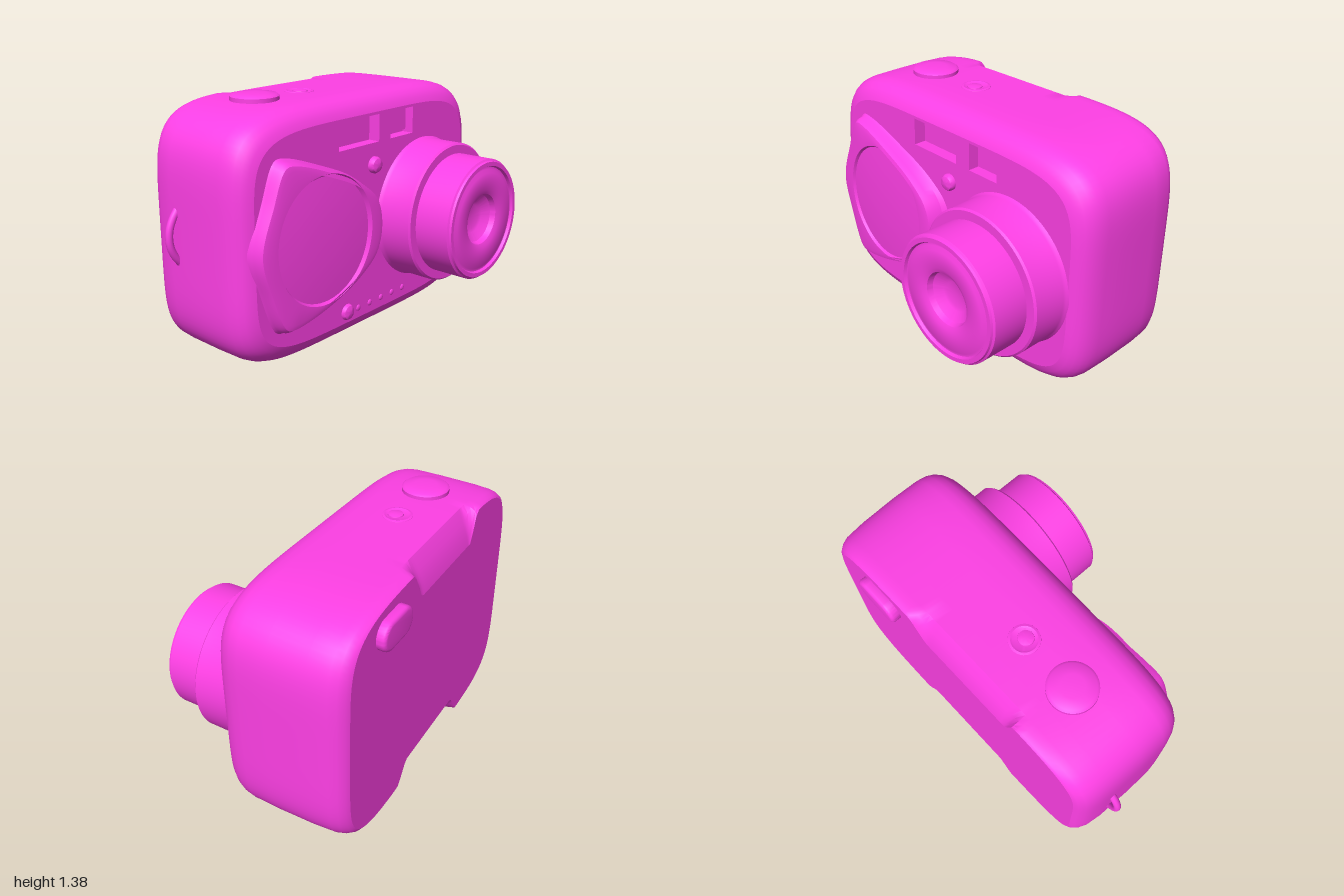
import * as THREE from 'three';
import { toCreasedNormals } from 'three/addons/utils/BufferGeometryUtils.js';

const material = new THREE.MeshStandardMaterial({ color: 0xff40e6 });
const inside = new THREE.MeshStandardMaterial({ color: 0xff40e6, side: THREE.BackSide });
const V = (x, y, z) => new THREE.Vector3(x, y, z);
const smooth = THREE.MathUtils.smoothstep;

// Skin over rings of points that run anticlockwise and advance along +z
function loft(rings, crease = 0.7) {
  const n = rings[0].length, index = [];
  for (let r = 0; r < rings.length - 1; r++) {
    for (let i = 0; i < n; i++) {
      const a = r * n + i, b = r * n + (i + 1) % n;
      index.push(a, b, b + n, a, b + n, a + n);
    }
  }
  const g = new THREE.BufferGeometry().setFromPoints(rings.flat());
  g.setIndex(index);
  return toCreasedNormals(g, crease);
}

// Softly squared outline of the body, with thumb notches cut in the rear edges
function bodyRing([z, insetX, insetY, topCut, bottomCut]) {
  const ring = [], count = 200, n = 5.5, a = 0.965 - insetX, b = 0.67 - insetY;
  for (let i = 0; i < count; i++) {
    const t = (i / count) * Math.PI * 2, c = Math.cos(t), s = Math.sin(t);
    const r = Math.pow(Math.abs(c / a) ** n + Math.abs(s / b) ** n, -1 / n);
    const x = 0.025 + r * c;
    let y = 0.672 + r * s;
    const top = smooth(x, -0.44, -0.36) * (1 - smooth(x, 0.2, 0.32));
    const bottom = smooth(x, -0.37, -0.27) * (1 - smooth(x, 0.28, 0.4));
    if (y > 1) y -= topCut * top;
    if (y < 0.3) y += bottomCut * bottom;
    ring.push(V(x, y, z < -0.4 ? z - 0.015 * x : z));
  }
  return ring;
}

// Closed rectangular path used for window openings
function rectPath(x, y, w, h) {
  return new THREE.Path([
    [x - w / 2, y - h / 2], [x - w / 2, y + h / 2], [x + w / 2, y + h / 2], [x + w / 2, y - h / 2],
  ].map(p => new THREE.Vector2(...p)));
}

// Pill-shaped solid with rounded edges, facing +z
function pill(w, h, depth, bevel) {
  const r = h / 2 - bevel, k = w / 2 - h / 2, s = new THREE.Shape();
  s.absarc(k, 0, r, -Math.PI / 2, Math.PI / 2);
  s.absarc(-k, 0, r, Math.PI / 2, Math.PI * 1.5);
  return toCreasedNormals(new THREE.ExtrudeGeometry(s, {
    depth: depth - bevel, bevelSize: bevel, bevelThickness: bevel, bevelSegments: 4, curveSegments: 16,
  }), 0.7);
}

const lathe = (points, segments = 64) => toCreasedNormals(
  new THREE.LatheGeometry(points.map(p => new THREE.Vector2(...p)), segments), 0.6);

export function createModel() {
  const model = new THREE.Group();
  const add = (name, geometry, x = 0, y = 0, z = 0, rx = 0, mat = material) => {
    const m = new THREE.Mesh(geometry, mat);
    m.name = name;
    m.position.set(x, y, z);
    m.rotation.x = rx;
    model.add(m);
    return m;
  };

  // Body shell: z, side inset, top and bottom inset, top notch, bottom notch
  const rings = [
    [-0.542, 0.085, 0.012, 0.17, 0.13],
    [-0.53, 0.06, 0.005, 0.13, 0.12],
    [-0.5, 0.035, 0, 0.06, 0.09],
    [-0.46, 0.018, 0, 0, 0.06],
    [-0.36, 0.006, 0, 0, 0],
    [-0.15, 0, 0, 0, 0],
    [0.0, 0.003, 0, 0, 0],
    [0.05, 0.01, 0.006, 0, 0],
    [0.09, 0.024, 0.02, 0, 0],
    [0.12, 0.043, 0.042, 0, 0],
    [0.142, 0.068, 0.07, 0, 0],
    [0.155, 0.098, 0.1, 0, 0],
  ].map(bodyRing);
  add('bodyShell', loft(rings, 0.9));

  // Rear panel
  const rear = new THREE.ShapeGeometry(new THREE.Shape(rings[0].map(p => new THREE.Vector2(-p.x, p.y))));
  rear.rotateY(Math.PI);
  const pos = rear.attributes.position;
  for (let i = 0; i < pos.count; i++) pos.setZ(i, -0.542 - 0.015 * pos.getX(i));
  rear.computeVertexNormals();
  add('rearPanel', rear);

  // Front panel with recessed windows
  const windows = [['viewfinder', -0.075, 0.33], ['sensorWindow', 0.29, 0.2]];
  const front = new THREE.Shape(rings[rings.length - 1].map(p => new THREE.Vector2(p.x, p.y)));
  for (const [name, x, w] of windows) {
    front.holes.push(rectPath(x, 1.152, w, 0.15));
    add(name + 'Recess', new THREE.BoxGeometry(w, 0.15, 0.07), x, 1.152, 0.12, 0, inside);
  }
  add('frontPanel', new THREE.ShapeGeometry(front), 0, 0, 0.155);
  const frame = new THREE.Shape(rectPath(0, 0, 0.16, 0.12).getPoints());
  frame.holes.push(rectPath(0, 0, 0.09, 0.08));
  add('sensorFrame', new THREE.ExtrudeGeometry(frame, { depth: 0.03, bevelEnabled: false }), 0.295, 1.155, 0.085);

  // Sliding cover: rounded triangular pad with a shallow inner dish
  const cx = -0.45, cy = 0.665;
  const outline = new THREE.CatmullRomCurve3([
    [0.01, 0.65], [-0.03, 0.81], [-0.16, 0.92], [-0.38, 1.02], [-0.62, 1.1], [-0.7, 1.1],
    [-0.79, 0.91], [-0.865, 0.68], [-0.81, 0.46], [-0.71, 0.24], [-0.64, 0.23],
    [-0.38, 0.29], [-0.16, 0.39], [-0.03, 0.5],
  ].map(([x, y]) => V(x, y, 0)), true).getSpacedPoints(120).slice(0, 120);
  const inner = outline.map((p, i) => {
    const t = Math.atan2(p.y - cy, p.x - cx);
    const r = 0.34 + 0.02 * Math.cos(t) - 0.015 * Math.cos(2 * t);
    return V(cx + r * Math.cos(t), cy + 0.96 * r * Math.sin(t), 0);
  });
  // Each layer: scale, height, blend towards the inner outline, tilt
  const layers = [
    [1.14, 0.135, 0, 0], [1.06, 0.158, 0, 0], [1.01, 0.17, 0, 0.1], [0.99, 0.195, 0, 0.6],
    [0.96, 0.212, 0, 1], [0.9, 0.218, 0, 1], [1.03, 0.218, 1, 1], [0.98, 0.203, 1, 1],
    [0.9, 0.205, 1, 1], [0.6, 0.212, 1, 1], [0.3, 0.215, 1, 1], [0, 0.216, 1, 1],
  ];
  add('slidingCover', loft(layers.map(([s, z, k, tilt]) => outline.map((p, i) => {
    const q = p.clone().lerp(inner[i], k);
    const f = s > 1 && q.x < cx ? 1 + (s - 1) * 0.25 : s;
    const x = cx + (q.x - cx) * f, y = cy + (q.y - cy) * (s > 1 ? 1 + (s - 1) * 0.4 : s);
    return V(x, y, z + tilt * 0.05 * (x + 0.87) / 0.87);
  })), 0.6));

  // Two-stage lens barrel with a dished centre
  add('lensBarrel', lathe([
    [0.42, 0.14], [0.405, 0.165], [0.4, 0.18], [0.4, 0.362], [0.39, 0.372], [0.342, 0.372],
    [0.342, 0.575], [0.332, 0.582], [0.328, 0.594], [0.305, 0.594], [0.298, 0.578],
    [0.285, 0.578], [0.265, 0.59], [0.17, 0.586], [0.145, 0.575], [0.135, 0.545],
    [0.09, 0.515], [0.07, 0.508], [0, 0.506],
  ], 96), 0.487, 0.627, 0, Math.PI / 2);

  // Small domed lamps on the front
  const dome = lathe([[0.046, 0], [0.046, 0.022], [0.038, 0.036], [0.02, 0.043], [0, 0.045]], 24);
  add('upperLamp', dome, 0.043, 0.957, 0.15, Math.PI / 2);
  add('lowerLamp', dome, -0.175, 0.167, 0.138, Math.PI / 2);

  // Row of tiny beads along the lower front
  for (let i = 0; i < 5; i++) {
    const bead = add('frontBead', new THREE.SphereGeometry(0.018, 12, 8), -0.08 + i * 0.1, 0.16, 0.155);
    bead.scale.z = 0.4;
  }

  // Top controls
  add('shutterButton', lathe([[0.128, 0], [0.128, 0.022], [0.115, 0.032], [0.06, 0.037], [0, 0.038]]), -0.48, 1.338, -0.205);
  const socket = lathe([
    [0.085, -0.01], [0.08, 0.003], [0.068, 0.006], [0.058, 0.001], [0, 0.001],
  ], 32);
  add('topDialRim', socket, -0.15, 1.341, -0.21);
  add('topDial', lathe([[0.042, 0], [0.04, 0.006], [0.025, 0.01], [0, 0.011]], 24), -0.15, 1.341, -0.2);

  // Tripod socket underneath
  add('tripodSocket', socket, 0.55, 0.004, -0.22, Math.PI);

  // Rear button
  add('rearButton', pill(0.28, 0.16, 0.06, 0.02), 0.54, 1.19, -0.54, Math.PI);

  // Strap loop on the side
  const loop = new THREE.CatmullRomCurve3([
    V(-0.92, 0.55, -0.32), V(-0.95, 0.59, -0.32), V(-0.973, 0.64, -0.32), V(-0.98, 0.69, -0.32),
    V(-0.973, 0.74, -0.32), V(-0.95, 0.79, -0.32), V(-0.92, 0.83, -0.32),
  ]);
  add('strapLoop', new THREE.TubeGeometry(loop, 32, 0.02, 12));

  return model;
}
